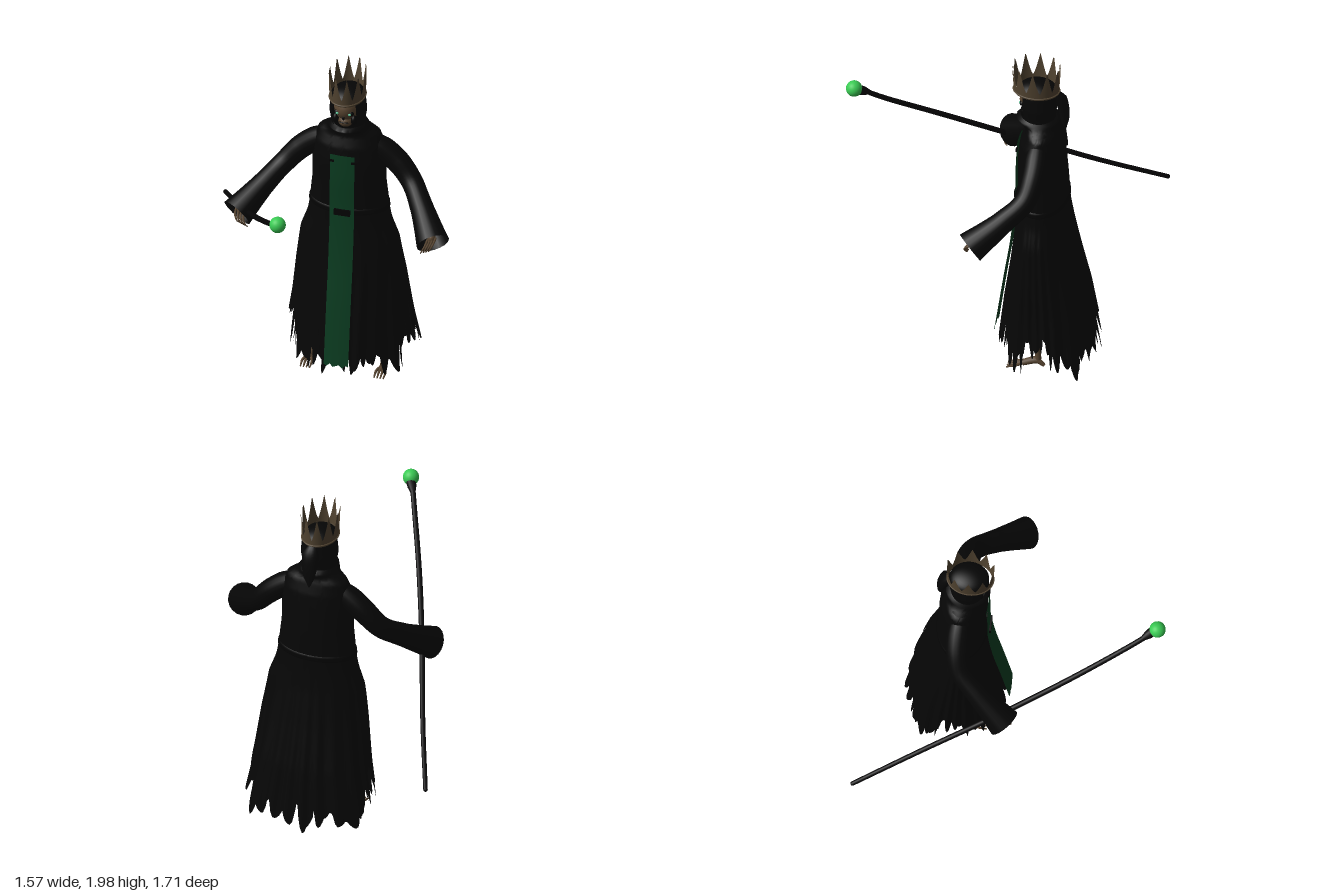
import * as THREE from 'three';

const CX = 0.125; // body axis
const mat = (name, color, side = THREE.DoubleSide) => {
  const m = new THREE.MeshStandardMaterial({ color, side });
  m.name = name;
  return m;
};
const cloth = mat('black cloth', 0x060606);
const trim = mat('dark leather', 0x040404);
const wood = mat('staff wood', 0x060506);
const green = mat('green cloth', 0x0b3d21);
const orbGreen = mat('bright green', 0x3acb54);
const gold = mat('old gold', 0x524431);
const bone = mat('old bone', 0x574430);
const eyeGlow = mat('eye glow', 0x5fc49a);

function rng(seed) {
  let s = seed;
  return () => (s = (s * 16807) % 2147483647) / 2147483647;
}
const V = (p) => new THREE.Vector3(...p);

function add(parent, name, geo, material, pos = [0, 0, 0], scale = [1, 1, 1]) {
  const m = new THREE.Mesh(geo, material);
  m.name = name;
  m.position.set(...pos);
  m.scale.set(...scale);
  parent.add(m);
  return m;
}

// Elliptical section [rx, rz, cz] at height y, from rows of [y, rx, rz, cz]
function section(rows, y) {
  let i = 0;
  while (i < rows.length - 2 && (rows[i + 1][0] - y) * (rows[i + 1][0] - rows[0][0]) < 0) i++;
  const a = rows[i], b = rows[i + 1];
  const t = (y - a[0]) / (b[0] - a[0]);
  return [1, 2, 3].map((k) => a[k] + (b[k] - a[k]) * t);
}

// Thin shell lofted from rows, ending at a ragged edge; theta 0 is the front
function shell(rows, { edge, cols = 48, steps = 16, from = -Math.PI, to = Math.PI, pleat = () => 0, spread = () => 1 } = {}) {
  const pos = [], idx = [], top = rows[0][0], last = rows[rows.length - 1][0];
  for (let i = 0; i <= steps; i++) {
    for (let j = 0; j <= cols; j++) {
      const th = from + ((to - from) * j) / cols;
      const y = top + ((edge ? edge(j % cols, th) : last) - top) * (i / steps);
      const [rx, rz, cz] = section(rows, y);
      const f = 1 - pleat(th, y);
      pos.push(CX + rx * f * spread(th, y) * Math.sin(th), y, cz + rz * f * Math.cos(th));
      if (i && j) {
        const d = i * (cols + 1) + j, c = d - 1, b = d - cols - 1, a = b - 1;
        idx.push(a, c, b, b, c, d);
      }
    }
  }
  const g = new THREE.BufferGeometry();
  g.setAttribute('position', new THREE.Float32BufferAttribute(pos, 3));
  g.setIndex(idx);
  g.computeVertexNormals();
  return g;
}

// Torn hem: skewed pointed strips of varied length parted by slits
function tornEdge(seed, strips, per, base, vary, slit) {
  const r = rng(seed);
  const list = (fn) => Array.from({ length: strips }, fn);
  const low = list(() => r() * vary);
  const cut = list(() => (0.25 + 0.75 * r()) * slit);
  const tip = list(() => 0.25 + 0.5 * r());
  return (j, th) => {
    const s = Math.floor(j / per), u = (j % per) / per, m = tip[s];
    const f = u < m ? 1 - u / m : (u - m) / (1 - m);
    return base(th) + low[s] + cut[u < m ? s : (s + 1) % strips] * Math.pow(f, 1.8);
  };
}

// Tube along a path with changing radius
function limb(points, radii, seg = 20, sides = 14) {
  const path = new THREE.CatmullRomCurve3(points.map(V));
  const g = new THREE.TubeGeometry(path, seg, 1, sides);
  const p = g.attributes.position, v = new THREE.Vector3();
  for (let i = 0; i < p.count; i++) {
    const u = Math.floor(i / (sides + 1)) / seg, c = path.getPointAt(u);
    const k = Math.min(u * (radii.length - 1), radii.length - 1.0001), n = Math.floor(k);
    v.fromBufferAttribute(p, i).sub(c).multiplyScalar(radii[n] + (radii[n + 1] - radii[n]) * (k - n)).add(c);
    p.setXYZ(i, v.x, v.y, v.z);
  }
  return g;
}

function makeRobe() {
  const robe = new THREE.Group();
  robe.name = 'robe';
  add(robe, 'torso', shell([
    [1.62, 0.09, 0.08, -0.305], [1.585, 0.16, 0.09, -0.312], [1.5, 0.2, 0.118, -0.31],
    [1.4, 0.215, 0.132, -0.306], [1.25, 0.215, 0.14, -0.312], [1.08, 0.233, 0.145, -0.317]]), cloth);
  // Skirt layers with torn hems, shorter at the sides and spread wider behind
  const rows = [[1.1, 0.228, 0.145, -0.315], [1, 0.245, 0.152, -0.317], [0.88, 0.29, 0.164, -0.32],
    [0.65, 0.325, 0.202, -0.33], [0.4, 0.352, 0.252, -0.34], [0, 0.41, 0.306, -0.347]];
  const base = (th) => (Math.abs(Math.sin(th)) > 0.95 ? 0.15 : 0.02);
  const pleat = (th, y) => Math.min(1, (1.1 - y) * 1.6) *
    (0.025 * (1 + Math.sin(th * 23 + 2 * Math.sin(th * 4))) + 0.015 * (1 + Math.sin(th * 9 + 1)));
  const spread = (th, y) => 1 - 0.24 * Math.min(1, Math.max(0, 0.8 - y) * 1.5) * Math.cos(th);
  add(robe, 'outerSkirt', shell(rows, { edge: tornEdge(41, 32, 7, base, 0.12, 0.24), cols: 224, steps: 28, pleat, spread }), cloth);
  const inner = rows.map(([y, a, b, c]) => [y, a * 0.95, b * 0.94, c]);
  add(robe, 'innerSkirt', shell(inner, { edge: tornEdge(977, 26, 7, (t) => base(t) + 0.02, 0.14, 0.14), cols: 182, steps: 28, pleat, spread }), cloth);
  // Cowl and ragged shoulder cape
  add(robe, 'shoulderCape', shell([
    [1.645, 0.095, 0.1, -0.285], [1.63, 0.108, 0.132, -0.283], [1.6, 0.13, 0.098, -0.305],
    [1.57, 0.18, 0.1, -0.316], [1.5, 0.208, 0.125, -0.313], [1.4, 0.222, 0.14, -0.312]],
  { edge: tornEdge(7, 16, 6, () => 1.42, 0.03, 0.04), cols: 96 }), cloth);
  add(robe, 'belt', shell([[1.112, 0.23, 0.145, -0.315], [1.106, 0.235, 0.149, -0.315],
    [1.08, 0.237, 0.15, -0.315], [1.074, 0.232, 0.146, -0.315]], { steps: 6 }), trim);
  add(robe, 'buckle', new THREE.BoxGeometry(0.095, 0.038, 0.012), trim, [CX, 1.093, -0.157]);

  // Hanging front strip, bowed across its width
  const strip = new THREE.PlaneGeometry(0.145, 1, 8, 30);
  const path = new THREE.CatmullRomCurve3([[0, 1.465, -0.17], [0, 1.3, -0.162], [0, 1.1, -0.16],
    [0, 0.8, -0.132], [0, 0.5, -0.088], [0, 0.13, -0.036]].map(V));
  const p = strip.attributes.position;
  for (let i = 0; i < p.count; i++) {
    const x = p.getX(i), c = path.getPointAt(0.5 - p.getY(i));
    const rag = p.getY(i) < -0.49 ? 0.012 * Math.sin(x * 130) : 0;
    p.setXYZ(i, CX - 0.003 + x, c.y + rag, c.z - x * x * 0.9);
  }
  strip.computeVertexNormals();
  add(robe, 'frontStrip', strip, green);
  for (const s of [-1, 1]) {
    add(robe, 'stripClasp', new THREE.BoxGeometry(0.03, 0.014, 0.008), trim, [CX + s * 0.066, 1.425, -0.171]);
  }
  return robe;
}

function makeHead() {
  const head = new THREE.Group();
  head.name = 'head';
  const ball = new THREE.SphereGeometry(1, 24, 16);
  // Hood, open around the face, with a closed top
  add(head, 'hood', shell([
    [1.84, 0.09, 0.095, -0.285], [1.8, 0.1, 0.105, -0.285], [1.72, 0.108, 0.107, -0.285],
    [1.66, 0.098, 0.1, -0.285], [1.58, 0.1, 0.09, -0.295]], { from: 0.72, to: Math.PI * 2 - 0.72, steps: 24 }), cloth);
  add(head, 'hoodTop', new THREE.SphereGeometry(1, 32, 10, 0, Math.PI * 2, 0, Math.PI / 2), cloth,
    [CX, 1.815, -0.28], [0.099, 0.06, 0.115]);
  add(head, 'hoodTail', limb([[0, 1.82, -0.375], [0, 1.77, -0.415], [0, 1.69, -0.435], [0, 1.56, -0.442]],
    [0.012, 0.032, 0.03, 0.022, 0.002]), cloth, [CX, 0, 0], [1.6, 1, 1]);
  // Skull face
  add(head, 'skull', ball, bone, [CX, 1.75, -0.268], [0.075, 0.082, 0.092]);
  add(head, 'jaw', ball, bone, [CX, 1.672, -0.238], [0.044, 0.038, 0.052]);
  add(head, 'noseHole', ball, trim, [CX, 1.712, -0.184], [0.008, 0.013, 0.008]);
  add(head, 'mouth', ball, trim, [CX, 1.678, -0.192], [0.028, 0.004, 0.008]);
  for (const s of [-1, 1]) {
    add(head, 'eyeSocket', ball, trim, [CX + s * 0.037, 1.74, -0.198], [0.022, 0.016, 0.014]);
    add(head, 'eye', ball, eyeGlow, [CX + s * 0.037, 1.74, -0.184], [0.009, 0.007, 0.005]);
    add(head, 'cheekHollow', ball, trim, [CX + s * 0.054, 1.69, -0.215], [0.018, 0.03, 0.022]);
  }
  // Crown with tall curved points
  const points = 10, per = 10;
  const edge = (j) => {
    const f = Math.abs(((j % per) / per) * 2 - 1);
    return 1.85 + 0.148 * Math.pow(1 - f, 1.35);
  };
  for (const k of [1, 0.96]) {
    add(head, 'crown', shell([[1.81, 0.1 * k, 0.13 * k, -0.273], [2, 0.109 * k, 0.142 * k, -0.273]],
      { edge, cols: points * per, steps: 4 }), gold);
  }
  const rim = add(head, 'crownRim', new THREE.TorusGeometry(0.1, 0.005, 8, 48), gold, [CX, 1.82, -0.273], [1.01, 1.31, 1]);
  rim.rotation.x = Math.PI / 2;
  return head;
}

// Right limbs, measured from the body axis
function makeSide() {
  const side = new THREE.Group();
  const X = (x, y, z) => [x - CX, y, z];
  add(side, 'sleeve', limb([X(0.02, 1.515, -0.31), X(-0.05, 1.48, -0.315), X(-0.16, 1.395, -0.314),
    X(-0.25, 1.295, -0.285), X(-0.34, 1.2, -0.178), X(-0.455, 1.077, -0.012)],
  [0.05, 0.07, 0.068, 0.063, 0.062, 0.068, 0.08, 0.095], 32, 20), cloth);
  // Bony hand
  add(side, 'forearm', limb([X(-0.34, 1.2, -0.17), X(-0.43, 1.1, -0.05)], [0.02, 0.014], 4, 8), bone);
  add(side, 'palm', new THREE.SphereGeometry(1, 12, 8), bone, X(-0.44, 1.09, -0.04), [0.024, 0.03, 0.026]);
  for (let i = 0; i < 4; i++) {
    const o = i * 0.016;
    add(side, 'finger', limb([X(-0.465 + o, 1.1 - o * 0.4, -0.035), X(-0.46 + o, 1.08 - o * 0.4, 0.01),
      X(-0.445 + o, 1.05 - o * 0.4, 0.025), X(-0.435 + o, 1.03 - o * 0.4, 0.01)], [0.007, 0.006, 0.003], 10, 6), bone);
  }
  // Shin and foot
  add(side, 'shin', limb([[-0.16, 0.6, -0.32], [-0.2, 0.3, -0.32], [-0.215, 0.08, -0.33]], [0.022, 0.013, 0.018], 12, 8), bone);
  add(side, 'foot', limb([[-0.215, 0.04, -0.365], [-0.215, 0.07, -0.32], [-0.218, 0.045, -0.24]], [0.01, 0.022, 0.019], 10, 8), bone);
  for (let i = 0; i < 4; i++) {
    const x = -0.245 + i * 0.018;
    add(side, 'toe', limb([[-0.218, 0.045, -0.25], [x, 0.035, -0.2], [x, 0.018, -0.15]], [0.01, 0.008, 0.004], 8, 6), bone);
  }
  return side;
}

function makeStaff() {
  const staff = new THREE.Group();
  staff.name = 'staff';
  add(staff, 'shaft', limb([[-0.765, 0.655, -0.845], [-0.59, 0.845, -0.47], [-0.385, 1.1, 0.0],
    [-0.22, 1.3, 0.35], [-0.06, 1.485, 0.66], [-0.01, 1.552, 0.755]], [0.013, 0.015, 0.016, 0.015], 40, 10), wood);
  add(staff, 'shaftEnd', new THREE.SphereGeometry(0.013, 10, 8), wood, [-0.765, 0.655, -0.845]);
  add(staff, 'orbSocket', limb([[-0.02, 1.54, 0.735], [0.0, 1.56, 0.765], [0.015, 1.572, 0.785]], [0.016, 0.026, 0.028], 8, 10), wood);
  add(staff, 'orb', new THREE.SphereGeometry(0.047, 24, 16), orbGreen, [0.024, 1.584, 0.81]);
  return staff;
}

export function createModel() {
  const model = new THREE.Group();
  model.name = 'crownedSkeletonKing';
  model.add(makeRobe(), makeHead(), makeStaff());
  for (const s of [1, -1]) {
    const side = makeSide();
    side.name = s > 0 ? 'rightLimbs' : 'leftLimbs';
    side.position.x = CX;
    side.scale.x = s;
    model.add(side);
  }
  return model;
}
